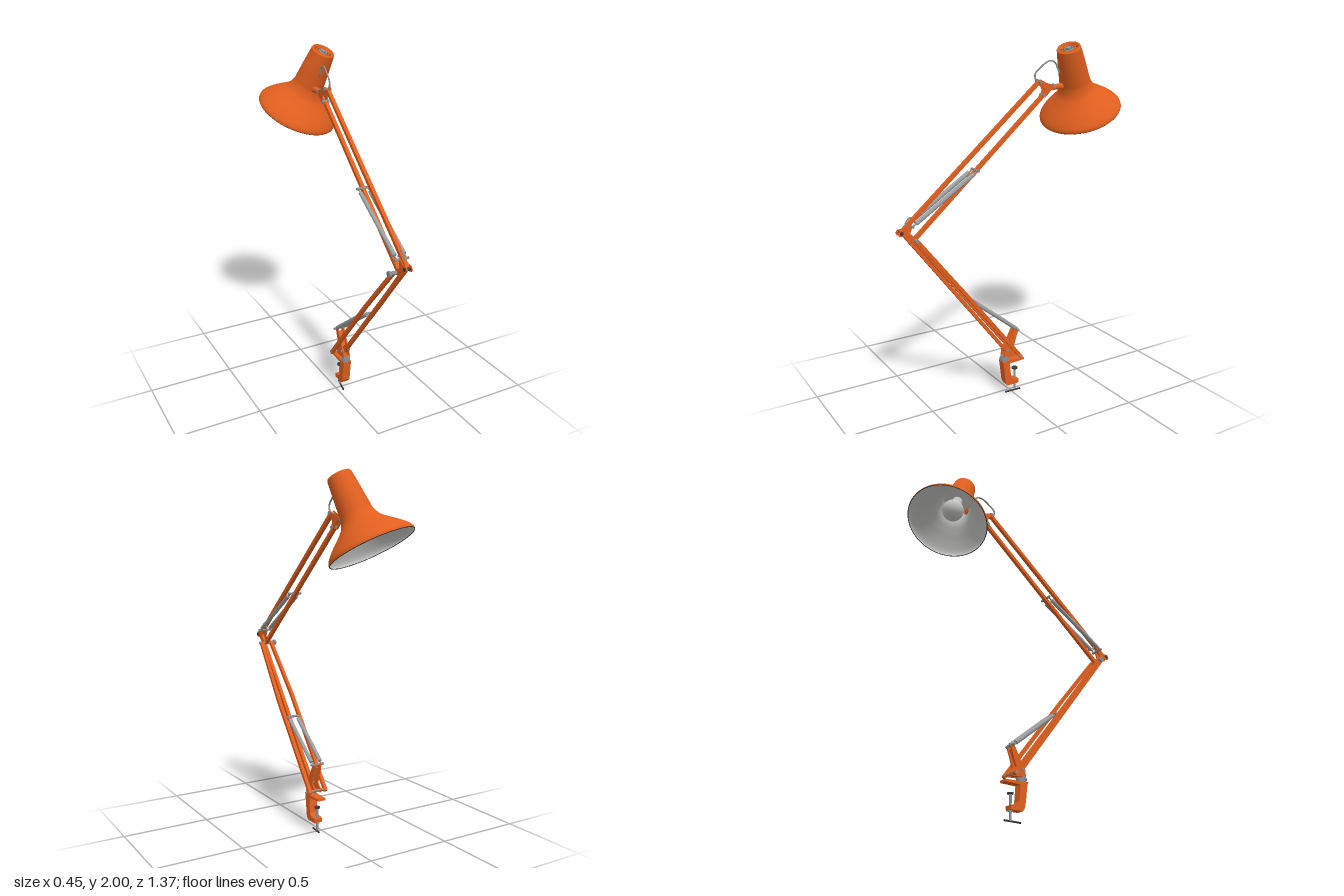
import * as THREE from 'three';

export function createModel() {
  const model = new THREE.Group();
  const mat = (name, color) => {
    const m = new THREE.MeshStandardMaterial({ color });
    m.name = name;
    return m;
  };
  const orange = mat('orange enamel', 0xe15f1f);
  const steel = mat('steel', 0x8c8f90);
  const bright = mat('bright spring steel', 0x9c9e9f);
  const dark = mat('dark metal', 0x3a3a3a);
  const pale = mat('pale lining', 0xc6c6c4);

  const X = 0.037; // plane of the arm
  const V = (x, y, z) => new THREE.Vector3(x, y, z);
  const add = (name, geo, m, parent = model) => {
    const mesh = new THREE.Mesh(geo, m);
    mesh.name = name;
    parent.add(mesh);
    return mesh;
  };
  // rectangular bar between two points
  const bar = (name, a, b, w, h = w) => {
    const mesh = add(name, new THREE.BoxGeometry(w, h, a.distanceTo(b)), orange);
    mesh.position.copy(a).lerp(b, 0.5);
    mesh.lookAt(b);
    return mesh;
  };
  // round rod between two points
  const rod = (name, a, b, r, m = steel, r2 = r) => {
    const mesh = add(name, new THREE.CylinderGeometry(r2, r, a.distanceTo(b), 16), m);
    mesh.position.copy(a).lerp(b, 0.5);
    mesh.quaternion.setFromUnitVectors(V(0, 1, 0), b.clone().sub(a).normalize());
    return mesh;
  };
  const pin = (name, y, z, half, r, m = steel) => rod(name, V(X - half, y, z), V(X + half, y, z), r, m);
  // flat plate from a [z, y] outline, thick along x
  const plate = (name, pts, x, t) => {
    const shape = new THREE.Shape(pts.map(p => new THREE.Vector2(...p)));
    const geo = new THREE.ExtrudeGeometry(shape, { depth: t, bevelEnabled: false });
    geo.rotateY(-Math.PI / 2).translate(x + t / 2, 0, 0);
    return add(name, geo, orange);
  };
  const wire = (name, pts, r) =>
    add(name, new THREE.TubeGeometry(new THREE.CatmullRomCurve3(pts), 32, r, 8), steel);

  // --- table clamp ---
  plate('clampBody', [[0.076, 0.218], [0.072, 0.2], [0.058, 0.085], [0.045, 0.064], [-0.028, 0.064],
    [-0.03, 0.088], [0.01, 0.094], [0.022, 0.11], [0.03, 0.2], [-0.065, 0.204], [-0.065, 0.216]], X, 0.05);
  rod('clampScrew', V(X, 0.01, -0.017), V(X, 0.15, -0.017), 0.007);
  rod('clampPad', V(X, 0.148, -0.017), V(X, 0.156, -0.017), 0.017, dark);
  rod('clampNut', V(X, 0.058, -0.017), V(X, 0.066, -0.017), 0.013);
  rod('clampHandle', V(X - 0.008, 0.007, 0.042), V(X + 0.008, 0.014, -0.05), 0.005, dark);
  rod('swivelPost', V(X, 0.212, 0.052), V(X, 0.25, 0.052), 0.024);
  rod('swivelCollar', V(X, 0.228, 0.052), V(X, 0.238, 0.052), 0.028);

  // --- base bracket ---
  for (const s of [-1, 1]) {
    plate('baseBracket', [[0.066, 0.243], [-0.025, 0.24], [-0.03, 0.256], [0.006, 0.29], [-0.028, 0.395],
      [-0.024, 0.412], [-0.01, 0.412], [0.034, 0.33], [0.06, 0.29]], X + s * 0.018, 0.008);
  }
  add('bracketFloor', new THREE.BoxGeometry(0.044, 0.008, 0.09), orange).position.set(X, 0.248, 0.02);
  const web = add('bracketWeb', new THREE.BoxGeometry(0.036, 0.09, 0.006), orange);
  web.position.set(X, 0.345, 0.005);
  web.rotation.x = -0.4;
  pin('innerPivot', 0.283, 0.045, 0.028, 0.009);
  pin('outerPivot', 0.252, -0.018, 0.062, 0.008);

  // --- lower arm: one centre bar and a bowed outer pair ---
  bar('lowerCentreBar', V(X, 0.279, 0.045), V(X, 1.085, 0.664), 0.02, 0.019);
  for (const s of [-1, 1]) {
    const low = V(X + s * 0.05, 0.243, -0.027), mid = V(X + s * 0.049, 0.74, 0.361);
    const top = V(X + s * 0.032, 1.033, 0.592);
    bar('lowerOuterBar', low, mid, 0.02, 0.019);
    bar('lowerOuterBarTaper', mid, top, 0.019);
  }

  // --- springs, in pairs on cross pins ---
  const springs = (name, y0, z0, y1, z1) => {
    pin(name + 'PinA', y0, z0, 0.04, 0.007);
    pin(name + 'PinB', y1, z1, 0.04, 0.007);
    for (const s of [-1, 1]) {
      const a = V(X + s * 0.028, y0, z0), b = V(X + s * 0.028, y1, z1);
      rod(name + 'Hook', a, b, 0.004);
      rod(name, a.clone().lerp(b, 0.06), a.clone().lerp(b, 0.94), 0.0115, bright);
    }
  };
  springs('lowerSpring', 0.405, -0.018, 0.628, 0.26);
  springs('upperSpring', 1.108, 0.612, 1.356, 0.23);

  // --- elbow ---
  for (const s of [-1, 1]) {
    plate('elbowPlate', [[0.687, 1.078], [0.68, 1.064], [0.645, 1.058], [0.598, 1.018], [0.582, 1.022],
      [0.584, 1.036], [0.62, 1.07], [0.604, 1.11], [0.618, 1.116], [0.645, 1.094], [0.676, 1.092]],
    X + s * 0.0145, 0.006);
  }
  pin('elbowPin', 1.077, 0.667, 0.021, 0.01, dark);
  pin('elbowOuterPin', 1.03, 0.592, 0.044, 0.01);
  rod('knobStem', V(-0.02, 1.03, 0.592), V(0.01, 1.03, 0.592), 0.006);
  rod('elbowKnob', V(-0.026, 1.03, 0.592), V(-0.014, 1.03, 0.592), 0.016);
  wire('elbowCableLoop', [V(X, 1.085, 0.64), V(X, 1.125, 0.636), V(X, 1.15, 0.612),
    V(X, 1.14, 0.592), V(X, 1.105, 0.58)], 0.004);

  // --- upper arm: two parallel bars ---
  bar('upperTopBar', V(X, 1.078, 0.664), V(X, 1.793, -0.165), 0.02);
  bar('upperLowBar', V(X, 1.03, 0.592), V(X, 1.722, -0.195), 0.02);

  // --- head bracket and cable ---
  for (const s of [-1, 1]) {
    plate('headBracket', [[-0.15, 1.795], [-0.165, 1.808], [-0.2, 1.79], [-0.255, 1.772], [-0.255, 1.752],
      [-0.235, 1.745], [-0.2, 1.71], [-0.182, 1.712], [-0.195, 1.748], [-0.188, 1.765]], X + s * 0.0135, 0.006);
  }
  pin('headTopPin', 1.793, -0.167, 0.021, 0.009);
  pin('headLowPin', 1.722, -0.192, 0.021, 0.009);
  rod('headNeck', V(X, 1.761, -0.24), V(X, 1.764, -0.335), 0.012, orange, 0.02);
  rod('headCollar', V(X, 1.762, -0.256), V(X, 1.762, -0.266), 0.018);
  wire('headCable', [V(X, 1.79, -0.15), V(X, 1.835, -0.142), V(X + 0.004, 1.87, -0.175),
    V(X + 0.01, 1.902, -0.225), V(X + 0.014, 1.895, -0.258), V(X + 0.014, 1.85, -0.285),
    V(X + 0.016, 1.82, -0.31)], 0.0045);

  // --- shade, built upright from the rim and then tilted ---
  const head = new THREE.Group();
  head.name = 'shade';
  head.position.set(-0.002, 1.615, -0.475);
  head.quaternion.setFromUnitVectors(V(0, 1, 0), V(0.096, 0.365, 0.16).normalize());
  model.add(head);
  const lathe = (name, pts, m) =>
    add(name, new THREE.LatheGeometry(pts.map(p => new THREE.Vector2(...p)), 64), m, head);
  const flare = new THREE.SplineCurve([[0.231, 0], [0.229, 0.014], [0.214, 0.036], [0.18, 0.07], [0.14, 0.105],
    [0.106, 0.14], [0.088, 0.18], [0.083, 0.22], [0.075, 0.31], [0.066, 0.395]].map(p => new THREE.Vector2(...p)))
    .getPoints(48).map(p => [p.x, p.y]);
  lathe('shadeOuter', flare, orange);
  lathe('shadeLining', [...flare.filter(p => p[1] < 0.23).map(([r, y]) => [r - 0.005, y]), [0, 0.235]].reverse(), pale);
  lathe('shadeRim', [[0.226, 0], [0.2285, -0.003], [0.231, 0]], dark);
  lathe('shadeTopRing', [[0.066, 0.395], [0.062, 0.402], [0.05, 0.402], [0.047, 0.386]], orange);
  const disc = (name, r, y, h, m) => {
    add(name, new THREE.CylinderGeometry(r, r, h, 32), m, head).position.y = y;
  };
  disc('ventGap', 0.05, 0.384, 0.008, dark);
  for (const [r, t, m] of [[0.036, 0.005, orange], [0.023, 0.004, steel]]) {
    const ring = add('ventRing', new THREE.TorusGeometry(r, t, 10, 40), m, head);
    ring.rotation.x = Math.PI / 2;
    ring.position.y = 0.393;
  }
  disc('ventButton', 0.013, 0.394, 0.014, steel);
  for (let i = 0; i < 3; i++) {
    const spoke = add('ventSpoke', new THREE.BoxGeometry(0.09, 0.004, 0.005), steel, head);
    spoke.position.y = 0.39;
    spoke.rotation.y = i * Math.PI / 3;
  }
  // bulb
  add('bulb', new THREE.SphereGeometry(0.062, 32, 20), pale, head).position.y = 0.125;
  disc('bulbSocket', 0.03, 0.2, 0.07, pale);

  return model;
}
